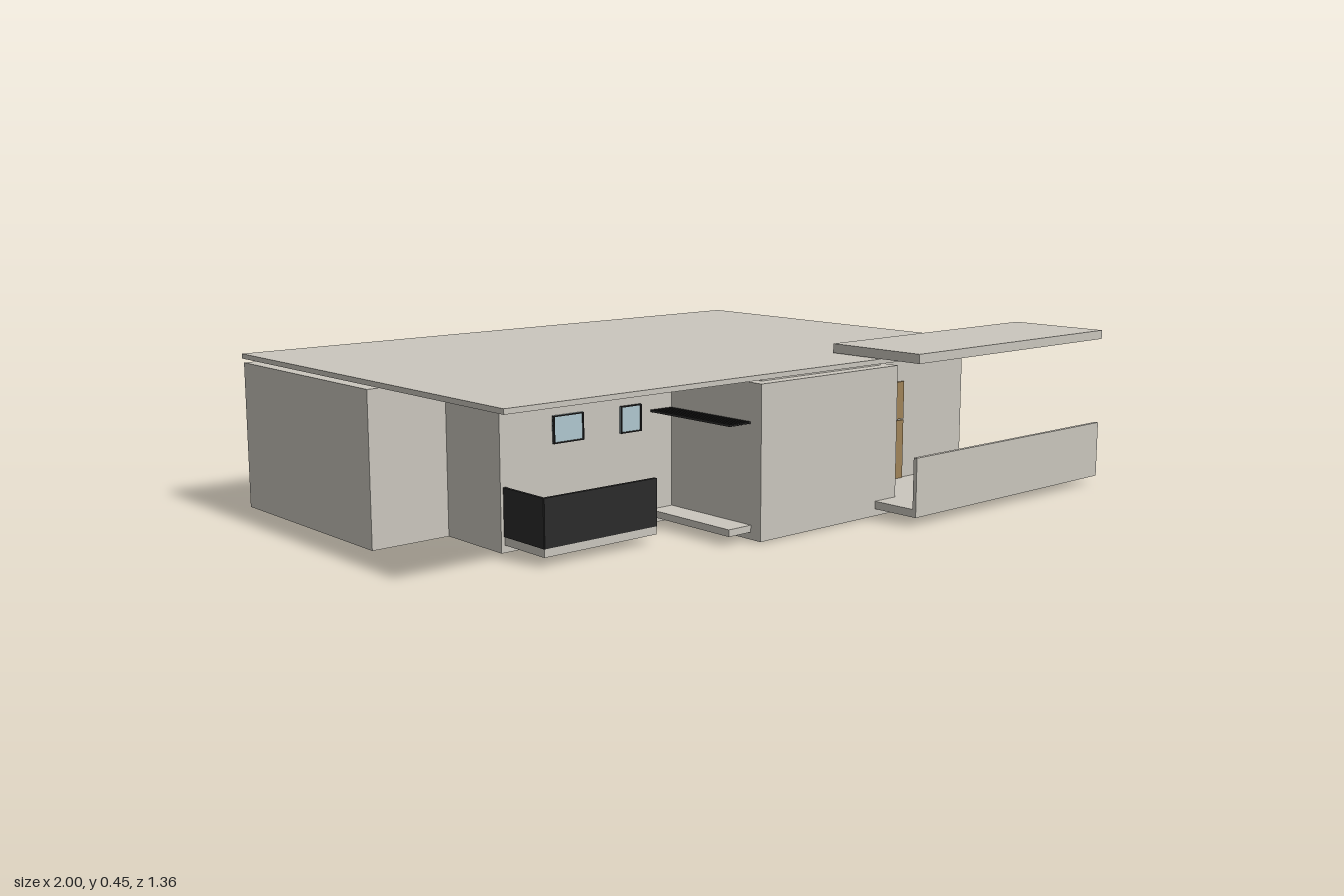
import * as THREE from 'three';

const mat = (name, color) => Object.assign(new THREE.MeshStandardMaterial({ color }), { name });

export function createModel() {
  const house = new THREE.Group();
  house.name = 'house';
  const plaster = mat('plaster', 0xcbc7be);
  const glass = mat('glass', 0xb0c8d0);
  const black = mat('black metal', 0x2b2b2b);
  const wood = mat('wood', 0xb09575);
  const darkWood = mat('dark wood', 0xa08358);

  // Box given by its limits on each axis
  function box(name, material, x0, x1, y0, y1, z0, z1, parent = house) {
    const mesh = new THREE.Mesh(new THREE.BoxGeometry(x1 - x0, y1 - y0, z1 - z0), material);
    mesh.position.set((x0 + x1) / 2, (y0 + y1) / 2, (z0 + z1) / 2);
    mesh.name = name;
    parent.add(mesh);
    return mesh;
  }

  // Main body: floor plan as (x, z) corners, extruded upwards
  const plan = [
    [-1, -0.67], [-1, -0.03], [-0.78, -0.03], [-0.78, 0.2], [-0.235, 0.2], [-0.235, 0.535],
    [0.27, 0.535], [0.27, 0.375], [0.74, 0.375], [0.74, -0.01], [0.73, -0.01], [0.73, -0.46],
    [0.27, -0.46], [0.27, -0.67], [0.18, -0.67], [0.18, -0.645], [-0.04, -0.645], [-0.04, -0.67],
    [-0.27, -0.67], [-0.27, -0.645], [-0.905, -0.645], [-0.905, -0.67],
  ];
  const shape = new THREE.Shape(plan.map(([x, z]) => new THREE.Vector2(x, -z)));
  const bodyGeometry = new THREE.ExtrudeGeometry(shape, { depth: 0.397, bevelEnabled: false });
  bodyGeometry.rotateX(-Math.PI / 2).translate(0, 0.003, 0);
  const body = new THREE.Mesh(bodyGeometry, plaster);
  body.name = 'walls';
  house.add(body);

  // Free-standing end of the back wall
  box('wingWall', plaster, 0.575, 0.835, 0, 0.4, -0.51, -0.46);

  // Ceiling plates, roof and entrance canopy
  box('ceilingPlateBack', plaster, -0.95, 0.23, 0.4, 0.41, -0.63, -0.06);
  box('ceilingPlateMiddle', plaster, -0.74, 0.7, 0.4, 0.41, -0.43, 0.17);
  box('ceilingPlateFront', plaster, -0.2, 0.24, 0.4, 0.41, 0.17, 0.5);
  box('ceilingPlateEntrance', plaster, 0.24, 0.7, 0.4, 0.41, 0.17, 0.335);
  box('roof', plaster, -1, 0.743, 0.41, 0.423, -0.68, 0.535);
  box('canopy', plaster, 0.19, 1, 0.425, 0.45, 0.375, 0.675);

  // Entrance terrace with its front parapet
  box('terraceFloor', plaster, 0.19, 1, 0.022, 0.043, 0.375, 0.675);
  box('terraceParapet', plaster, 0.19, 1, 0.043, 0.18, 0.664, 0.675);

  // Balcony with railing, on the front recess
  box('balconyFloor', plaster, -0.77, -0.425, 0.022, 0.043, 0.2, 0.36);
  box('balconyFrontRail', black, -0.77, -0.425, 0.043, 0.165, 0.352, 0.362);
  box('balconySideRail', black, -0.772, -0.764, 0.043, 0.165, 0.2, 0.36);

  // Service ledge and its row of small pegs
  box('serviceLedge', plaster, -0.31, -0.235, 0.022, 0.04, 0.2, 0.5);
  for (let i = 0; i < 6; i++) {
    const x = -0.307 + i * 0.0125;
    box('ledgePeg', black, x, x + 0.006, 0.297, 0.303, 0.2, 0.5);
  }

  // Window: thin pane with frame bars; dir is the way it faces along z
  function makeWindow(name, x0, x1, y0, y1, z, dir, bars) {
    const group = new THREE.Group();
    group.name = name;
    house.add(group);
    const plate = (part, material, a, b, c, d, t) =>
      box(part, material, a, b, c, d, Math.min(z, z + dir * t), Math.max(z, z + dir * t), group);
    plate('pane', glass, x0, x1, y0, y1, 0.004);
    const w = bars ? 0.007 : 0.003;
    plate('frame', black, x0, x1, y1 - w, y1, 0.008);
    plate('frame', black, x0, x1, y0, y0 + w, 0.008);
    plate('frame', black, x0, x0 + w, y0, y1, 0.008);
    plate('frame', black, x1 - w, x1, y0, y1, 0.008);
    if (!bars) return;
    const xm = (x0 + x1) / 2, ym = y0 + (y1 - y0) * 0.66;
    plate('mullion', black, xm - 0.005, xm + 0.005, y0, y1, 0.008);
    plate('transom', black, x0, x1, ym - 0.005, ym + 0.005, 0.008);
    plate('sill', plaster, x0 - 0.008, x1 + 0.008, y0 - 0.012, y0, 0.009);
  }
  makeWindow('backWindow1', 0.33, 0.54, 0.1, 0.36, -0.46, -1, true);
  makeWindow('backWindow2', -0.02, 0.17, 0.165, 0.34, -0.645, -1, true);
  makeWindow('backWindow3', -0.5, -0.31, 0.165, 0.34, -0.645, -1, true);
  makeWindow('backWindow4', -0.89, -0.68, 0.165, 0.34, -0.645, -1, true);
  makeWindow('frontWindow1', -0.623, -0.53, 0.253, 0.323, 0.2, 1, false);
  makeWindow('frontWindow2', -0.41, -0.343, 0.253, 0.323, 0.2, 1, false);

  // Entrance door with a narrow side panel
  box('door', wood, 0.322, 0.445, 0.043, 0.32, 0.375, 0.381);
  box('doorGap', black, 0.445, 0.449, 0.043, 0.32, 0.375, 0.38);
  box('doorSidePanelTop', darkWood, 0.449, 0.478, 0.214, 0.32, 0.375, 0.381);
  box('doorSidePanelBottom', darkWood, 0.449, 0.478, 0.043, 0.21, 0.375, 0.381);

  // Wooden room floors, seen from underneath
  const floors = [
    [-0.19, 0.21, -0.62, -0.2], [-0.54, -0.2, -0.62, -0.2],
    [-0.97, -0.555, -0.63, -0.19], [-0.97, -0.43, -0.19, -0.045],
  ];
  for (const [x0, x1, z0, z1] of floors) box('roomFloor', wood, x0, x1, 0, 0.004, z0, z1);

  return house;
}
